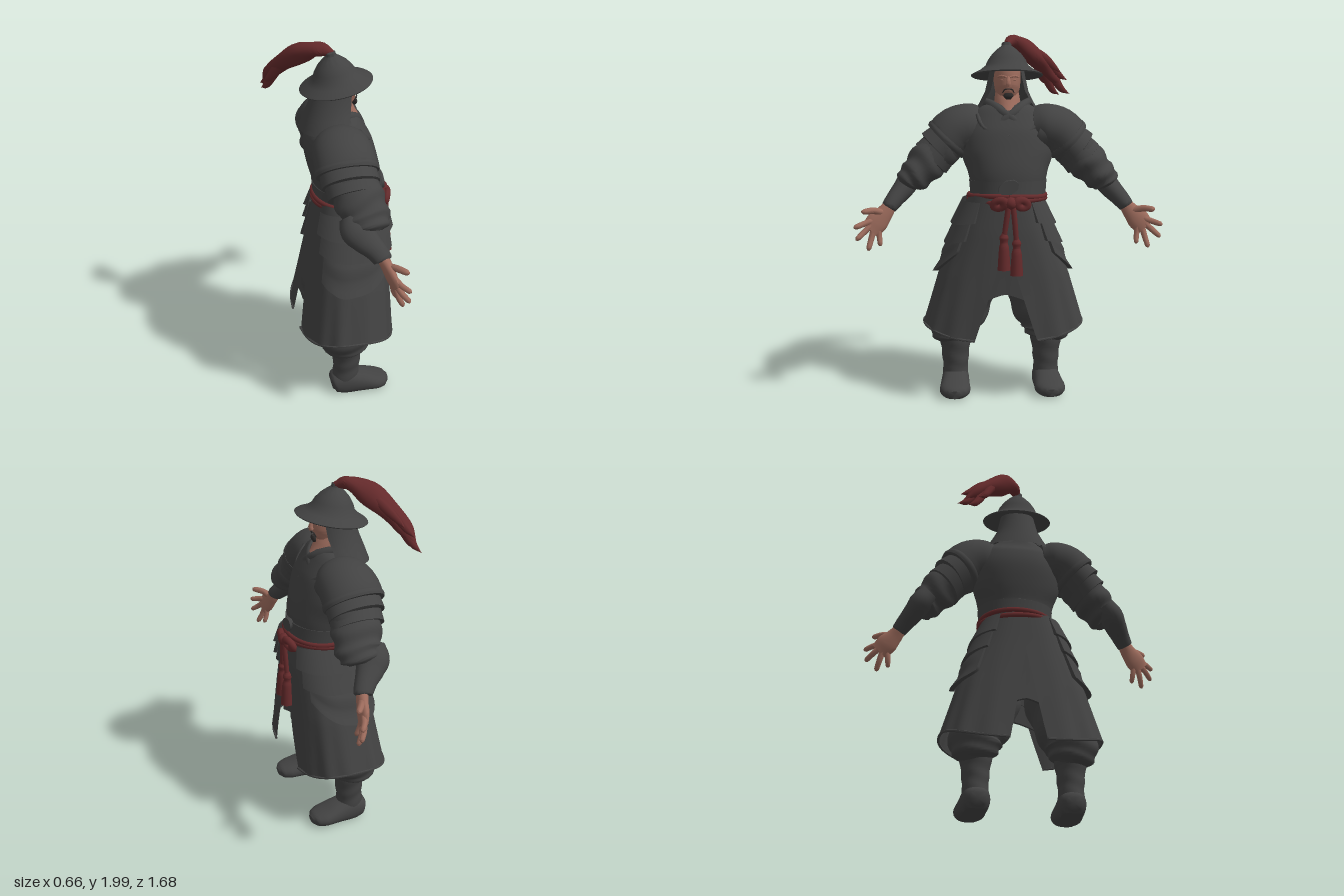
import * as THREE from 'three';
import { toCreasedNormals } from 'three/addons/utils/BufferGeometryUtils.js';

const V = (x, y, z) => new THREE.Vector3(x, y, z);
const lerp = THREE.MathUtils.lerp;
const spow = (v, p) => Math.sign(v) * Math.abs(v) ** p;

function mat(name, color) {
  const m = new THREE.MeshStandardMaterial({ color, side: THREE.DoubleSide });
  m.name = name;
  return m;
}

// Surface through rows of points; closed rows wrap round, caps close both ends
function grid(rows, { closed = false, caps = false, flip = false } = {}) {
  const n = rows[0].length, pos = [], idx = [];
  rows.forEach(r => r.forEach(p => pos.push(p.x, p.y, p.z)));
  const tri = (a, b, c) => (flip ? idx.push(a, c, b) : idx.push(a, b, c));
  for (let i = 0; i < rows.length - 1; i++) {
    for (let j = 0; j < (closed ? n : n - 1); j++) {
      const k = (j + 1) % n, a = i * n + j, b = i * n + k;
      tri(a, b, b + n);
      tri(a, b + n, a + n);
    }
  }
  if (caps) [0, rows.length - 1].forEach((r, e) => {
    const c = rows[r].reduce((s, p) => s.add(p), V(0, 0, 0)).divideScalar(n);
    const ci = pos.length / 3;
    pos.push(c.x, c.y, c.z);
    for (let j = 0; j < n; j++) {
      const a = r * n + j, b = r * n + (j + 1) % n;
      e ? tri(ci, a, b) : tri(ci, b, a);
    }
  });
  const g = new THREE.BufferGeometry();
  g.setAttribute('position', new THREE.Float32BufferAttribute(pos, 3));
  g.setIndex(idx);
  return toCreasedNormals(g, 0.9);
}

// Elliptical sweep through [x, y, z, radius along ref, radius across]
function limb(pts, { seg = 5, sides = 24, ref = V(0, 0, 1), pow = 1, ripple = 0, waves = 0, floor = -1 } = {}) {
  const path = new THREE.CatmullRomCurve3(pts.map(p => V(p[0], p[1], p[2])));
  const rad = new THREE.CatmullRomCurve3(pts.map(p => V(p[3], p[4] ?? p[3], 0)), false, 'catmullrom', 0.35);
  const n = seg * (pts.length - 1), rows = [];
  for (let i = 0; i <= n; i++) {
    const t = i / n, c = path.getPoint(t), T = path.getTangent(t), r = rad.getPoint(t);
    const A = ref.clone().addScaledVector(T, -T.dot(ref)).normalize(), B = T.clone().cross(A);
    const row = [];
    for (let j = 0; j < sides; j++) {
      const th = j / sides * Math.PI * 2;
      const k = 1 + ripple * Math.sin(waves * t * Math.PI * 2 + 1.3 * Math.sin(th * 2));
      const p = c.clone().addScaledVector(A, r.x * k * spow(Math.cos(th), pow))
        .addScaledVector(B, r.y * k * spow(Math.sin(th), pow));
      p.y = Math.max(p.y, floor);
      row.push(p);
    }
    rows.push(row);
  }
  return grid(rows, { closed: true, caps: true });
}

// Coat skirt outline: [y, half width, half depth, centre z]
const SKIRT = [[1.14, 0.19, 0.185, 0.08], [0.95, 0.26, 0.205, 0.073], [0.7, 0.36, 0.227, 0.056], [0.34, 0.465, 0.262, 0.033]];
function skirtAt(s, a, y, off = 0) {
  let i = 0;
  while (i < 2 && y < SKIRT[i + 1][0]) i++;
  const p = SKIRT[i], q = SKIRT[i + 1], t = (y - p[0]) / (q[0] - p[0]);
  const [rx, rz, cz] = [1, 2, 3].map(k => lerp(p[k], q[k], t));
  return V(s * (rx + off) * spow(Math.sin(a), 0.75), y, cz + (rz + off) * spow(Math.cos(a), 0.75));
}

// Raised plate hugging the skirt, with closed lower and side edges
function tasset(s, a0, a1, yTop, yBot, off, fold = 0) {
  const rows = [], n = 24;
  for (let i = 0; i <= 11; i++) {
    const v = Math.min(i / 10, 1), row = [];
    for (let j = 0; j <= n + 2; j++) {
      const u = THREE.MathUtils.clamp((j - 1) / n, 0, 1);
      const edge = j === 0 || j === n + 2 || i === 11;
      const bulge = fold * Math.sin(u * Math.PI) * Math.sin(v * 14);
      row.push(skirtAt(s, lerp(a0, a1, u), lerp(yTop, yBot(u), v), edge ? off - 0.02 : off * (0.6 + 0.4 * v) + bulge));
    }
    rows.push(row);
  }
  return grid(rows, { flip: s > 0 });
}

export function createModel() {
  const cloth = mat('charcoal cloth', 0x424242), skin = mat('skin', 0x9c6b5c);
  const red = mat('dark red', 0x642a2b), hair = mat('dark hair', 0x302d2c);
  const body = new THREE.Group();
  const add = (name, geo, m, parent = body) => {
    const mesh = new THREE.Mesh(geo, m);
    mesh.name = name;
    parent.add(mesh);
    return mesh;
  };

  // Torso, belt and collar
  add('torso', limb([[0, 1.62, -0.03, 0.08, 0.1], [0, 1.56, -0.005, 0.145, 0.2], [0, 1.45, 0.02, 0.182, 0.25], [0, 1.35, 0.045, 0.188, 0.25],
    [0, 1.25, 0.07, 0.187, 0.217], [0, 1.17, 0.075, 0.183, 0.2], [0, 1.08, 0.08, 0.178, 0.19]], { sides: 40, pow: 0.9 }), cloth);
  add('belt', limb([[0, 1.14, 0.08, 0.18, 0.19], [0, 1.142, 0.08, 0.192, 0.207], [0, 1.215, 0.075, 0.192, 0.213], [0, 1.217, 0.075, 0.18, 0.19]],
    { seg: 1, sides: 40, pow: 0.94 }), cloth);
  const buckle = add('buckle', new THREE.CylinderGeometry(0.06, 0.064, 0.04, 8), cloth);
  buckle.rotation.set(Math.PI / 2, Math.PI / 8, 0);
  buckle.scale.z = 0.65;
  buckle.position.set(-0.01, 1.19, 0.258);
  for (const s of [1, -1]) {
    add('collar', limb([[s * 0.125, 1.64, -0.01, 0.02, 0.02], [s * 0.085, 1.62, 0.08, 0.018, 0.026], [s * 0.04, 1.59, 0.128, 0.018, 0.024],
      [-s * 0.01, 1.555, 0.15, 0.016, 0.024], [-s * 0.08, 1.5, 0.162, 0.008, 0.015]], { sides: 10 }), cloth);
    add('bibEdge', limb([[s * 0.17, 1.57, 0.1, 0.012], [s * 0.13, 1.5, 0.16, 0.012], [0, 1.46, 0.198, 0.012]], { sides: 8 }), cloth);
  }

  // Head, face and hood
  add('neck', limb([[0, 1.72, 0.01, 0.06], [0, 1.63, 0.04, 0.072], [0, 1.56, 0.09, 0.062]]), skin);
  add('head', limb([[0, 1.86, 0.02, 0.085, 0.065], [0, 1.78, 0.025, 0.098, 0.075], [0, 1.71, 0.03, 0.098, 0.069],
    [0, 1.665, 0.045, 0.08, 0.052], [0, 1.635, 0.06, 0.04, 0.03]]), skin);
  add('nose', limb([[0, 1.775, 0.118, 0.008], [0, 1.74, 0.134, 0.013], [0, 1.725, 0.128, 0.016]], { sides: 10 }), skin);
  add('goatee', limb([[0, 1.688, 0.118, 0.009, 0.02], [0, 1.673, 0.119, 0.012, 0.028], [0, 1.655, 0.114, 0.008, 0.015]], { sides: 12 }), hair);
  for (const s of [1, -1]) {
    add('moustache', limb([[0, 1.71, 0.127, 0.002], [s * 0.02, 1.706, 0.123, 0.004], [s * 0.032, 1.688, 0.115, 0.002]], { sides: 8 }), hair);
    add('browRidge', limb([[s * 0.008, 1.772, 0.12, 0.007], [s * 0.035, 1.778, 0.11, 0.008], [s * 0.06, 1.77, 0.085, 0.004]], { sides: 8 }), skin);
    const eyelid = add('eyelid', new THREE.SphereGeometry(0.01, 10, 8), skin);
    eyelid.position.set(s * 0.03, 1.756, 0.11);
    eyelid.scale.set(1.3, 0.6, 0.8);
  }
  const hood = [[1.83, 0.09, 0.1, 0.01, 0.85], [1.76, 0.104, 0.118, 0.005, 0.85], [1.69, 0.12, 0.13, -0.005, 0.9],
    [1.63, 0.15, 0.145, -0.015, 1.0], [1.565, 0.19, 0.165, -0.02, 1.1]];
  add('hood', grid(hood.map(([y, rx, rz, cz, open], i) => Array.from({ length: 41 }, (_, j) => {
    const a = lerp(open, Math.PI * 2 - open, j / 40);
    return V(rx * Math.sin(a), y + i * 0.006 * Math.cos(a), cz + rz * Math.cos(a));
  })), { flip: true }), cloth);

  // Wide brimmed helmet
  const hatProfile = [[0.08, 0.015], [0.193, -0.012], [0.198, -0.006], [0.19, 0], [0.15, 0.02], [0.118, 0.045], [0.105, 0.075],
    [0.08, 0.11], [0.05, 0.138], [0.028, 0.155], [0.026, 0.172], [0, 0.18]];
  const hat = add('hat', toCreasedNormals(new THREE.LatheGeometry(hatProfile.map(p => new THREE.Vector2(...p)), 40), 0.8), cloth);
  hat.position.set(0, 1.787, 0.015);
  hat.rotation.x = -0.175;

  // Plume with loose strands
  add('plume', limb([[0, 1.95, 0, 0.016], [0.035, 1.965, -0.06, 0.041, 0.036], [0.11, 1.927, -0.14, 0.066, 0.052], [0.2, 1.85, -0.22, 0.062, 0.046],
    [0.28, 1.77, -0.275, 0.044, 0.032], [0.36, 1.69, -0.31, 0.003]], { sides: 14, ripple: 0.08, waves: 2.5 }), red);
  [[0.39, 1.665, -0.32], [0.33, 1.66, -0.325], [0.37, 1.745, -0.29], [0.33, 1.79, -0.25], [0.27, 1.72, -0.32]].forEach(([x, y, z], i) =>
    add('plumeStrand', limb([[0.1, 1.93 + i * 0.006, -0.13, 0.024], [lerp(0.12, x, 0.5), lerp(1.95, y, 0.5), z * 0.77, 0.03],
      [x * 0.87, y + 0.03, z * 0.93, 0.019], [x, y, z, 0.001]], { sides: 8 }), red));

  for (const s of [1, -1]) {
    // The left arm is held a little further forward, most at the shoulder
    const P = pts => pts.map(([x, y, z, ...r]) => [x * s, y, z + (s > 0 ? lerp(0.06, 0.015, x / 0.8) : 0), ...r]);
    const arm = new THREE.Group();
    arm.name = s > 0 ? 'leftArm' : 'rightArm';
    body.add(arm);

    // Sleeve with folds, forearm guard
    add('sleeve', limb(P([[0.16, 1.49, 0, 0.13, 0.11], [0.32, 1.42, 0.005, 0.135, 0.108], [0.43, 1.32, 0.028, 0.132, 0.108],
      [0.5, 1.245, 0.05, 0.125, 0.092], [0.54, 1.205, 0.055, 0.108, 0.078], [0.552, 1.185, 0.055, 0.065, 0.05]]),
    { seg: 8, ripple: 0.055, waves: 5 }), cloth, arm);
    add('forearmGuard', limb(P([[0.5, 1.255, -0.035, 0.06, 0.055], [0.545, 1.2, -0.015, 0.084, 0.063], [0.575, 1.16, 0.02, 0.076, 0.058],
      [0.62, 1.11, 0.07, 0.058, 0.049], [0.652, 1.07, 0.1, 0.05, 0.042], [0.656, 1.064, 0.102, 0.036, 0.032]])), cloth, arm);

    // Layered shoulder plates
    const plates = [
      [[0.13, 1.5, -0.01, 0.12, 0.1], [0.2, 1.5, -0.01, 0.155, 0.128], [0.28, 1.475, -0.01, 0.164, 0.134], [0.335, 1.425, -0.008, 0.165, 0.128], [0.338, 1.422, -0.008, 0.14, 0.1]],
      [[0.3, 1.45, -0.005, 0.15, 0.11], [0.385, 1.375, 0, 0.154, 0.122], [0.388, 1.372, 0, 0.13, 0.1]],
      [[0.35, 1.4, 0, 0.14, 0.105], [0.42, 1.325, 0.012, 0.144, 0.116], [0.423, 1.322, 0.012, 0.12, 0.1]]];
    plates.forEach(p => add('shoulderPlate', limb(P(p), { seg: p.length > 3 ? 4 : 1, sides: 32 }), cloth, arm));
    add('shoulderPlateRim', limb(P([[0.318, 1.443, -0.008, 0.167, 0.134], [0.33, 1.43, -0.008, 0.172, 0.136], [0.342, 1.418, -0.008, 0.167, 0.13]]),
      { seg: 2, sides: 32 }), cloth, arm);

    // Hand with spread fingers
    add('palm', limb(P([[0.645, 1.08, 0.1, 0.032, 0.036], [0.675, 1.04, 0.115, 0.029, 0.046], [0.715, 0.995, 0.13, 0.026, 0.06],
      [0.755, 0.95, 0.147, 0.017, 0.052]]), { sides: 16 }), skin, arm);
    const fingers = [[0.675, 1.04, 0.12, 0.795, 1.06, 0.195, 0.018], [0.745, 1.0, 0.14, 0.838, 0.972, 0.195, 0.016],
      [0.75, 0.975, 0.143, 0.828, 0.905, 0.195, 0.016], [0.735, 0.955, 0.142, 0.765, 0.845, 0.18, 0.016], [0.71, 0.96, 0.138, 0.7, 0.865, 0.16, 0.015]];
    fingers.forEach(([x, y, z, X, Y, Z, r], i) => add(i ? 'finger' : 'thumb', limb(P([[x, y, z, r * 1.1],
      [(x + X) / 2, (y + Y) / 2 + (i ? 0 : 0.008), (z + Z) / 2 - 0.006, r], [lerp(x, X, 0.9), lerp(y, Y, 0.9), lerp(z, Z, 0.9), r * 0.85],
      [X, Y, Z, r * 0.35]]), { sides: 8, seg: 3, ref: V(0, 0.2, 1).normalize() }), skin, arm));
  }

  // Lower body
  const lower = new THREE.Group(), legs = new THREE.Group();
  lower.name = 'lowerBody';
  legs.name = 'legs';
  lower.position.x = -0.025;
  legs.position.x = -0.01;
  lower.add(legs);
  body.add(lower);
  const hemY = a => 0.42 - 0.07 * Math.cos(a) ** 2;
  for (const s of [1, -1]) {
    // Coat half, split widely at the front and narrowly at the back
    const rows = [];
    for (let i = 0; i <= 24; i++) rows.push(Array.from({ length: 41 }, (_, j) => {
      const v = i / 24, open = Math.max(0, (v - 0.33) / 0.67);
      const a = lerp(0.27 * open, Math.PI - 0.13 * open, j / 40);
      return skirtAt(s, a, lerp(1.14, hemY(a), v), 0.006 * Math.sin(a * 14) * v * v);
    }));
    add('coatSkirt', grid(rows, { flip: s > 0 }), cloth, lower);
    // Hem border and inner aprons behind both splits
    const hem = Array.from({ length: 13 }, (_, j) => {
      const a = lerp(0.27, Math.PI - 0.13, j / 12), p = skirtAt(s, a, hemY(a));
      return [p.x, p.y, p.z, 0.007];
    });
    add('hem', limb(hem, { sides: 6, ref: V(0, 1, 0) }), cloth, lower);
    add('innerApron', tasset(s, 0, 0.6, 1, u => 0.6 - 0.1 * u, -0.05), cloth, lower);
    add('innerApronUpper', tasset(s, 0, 0.5, 1, u => 0.72 - 0.06 * u, -0.03), cloth, lower);
    add('innerBackApron', tasset(s, Math.PI - 0.5, Math.PI, 1, u => 0.5 + 0.1 * u, -0.035), cloth, lower);

    // Hip plates
    add('lowerHipPlate', tasset(s, 0.85, 2.4, 1.0, u => 0.83 - 0.14 * Math.sin(Math.min(u * 1.25, 1) * Math.PI * 0.62) + 0.05 * u ** 6, 0.026, 0.007), cloth, lower);
    add('middleHipPlate', tasset(s, 0.7, 2.5, 1.07, u => 0.9 - 0.03 * Math.sin(u * Math.PI), 0.036), cloth, lower);
    add('upperHipPlate', tasset(s, 0.55, 2.6, 1.11, u => 1.0 - 0.02 * Math.sin(u * Math.PI), 0.042), cloth, lower);

    // Baggy trousers and boots
    add('trouserLeg', limb([[s * 0.12, 0.98, 0.04, 0.14, 0.11], [s * 0.17, 0.7, 0.03, 0.145, 0.165], [s * 0.213, 0.52, 0.005, 0.142, 0.158],
      [s * 0.26, 0.4, -0.005, 0.147, 0.146], [s * 0.262, 0.325, -0.005, 0.132, 0.126], [s * 0.258, 0.28, 0, 0.075, 0.075]],
    { seg: 8, ripple: 0.04, waves: 5 }), cloth, legs);
    add('bootShaft', limb([[s * 0.257, 0.32, 0.005, 0.092, 0.09], [s * 0.257, 0.22, 0.005, 0.077, 0.076], [s * 0.257, 0.14, 0.002, 0.074, 0.07],
      [s * 0.257, 0.05, -0.005, 0.078, 0.072]], { ripple: 0.025, waves: 3 }), cloth, legs);
    const foot = add('bootFoot', limb([[0, 0.055, -0.085, 0.04, 0.035], [0, 0.06, -0.065, 0.068, 0.06], [0, 0.065, 0, 0.076, 0.078],
      [0, 0.06, 0.08, 0.08, 0.064], [0, 0.05, 0.17, 0.085, 0.045], [0, 0.045, 0.22, 0.066, 0.035], [0, 0.042, 0.243, 0.03, 0.022]],
    { ref: V(1, 0, 0), floor: 0.008, pow: 0.85 }), cloth, legs);
    foot.position.x = s * 0.257;
    foot.rotation.y = s * 0.05;
  }

  // Red sash: two cords, bow, ropes and tassels
  [0, 1].forEach(k => add('sashCord', limb(Array.from({ length: 25 }, (_, i) => {
    const a = i / 24 * Math.PI * 2, y = 1.113 + k * 0.024 + 0.006 * Math.sin(a * 2 + k * 2);
    return [-0.005 + 0.209 * spow(Math.sin(a), 0.95), y, 0.08 + 0.193 * spow(Math.cos(a), 0.95), 0.014];
  }), { sides: 8, seg: 3, ref: V(0, 1, 0) }), red));
  const knot = add('sashKnot', new THREE.SphereGeometry(0.034, 14, 10), red);
  knot.position.set(0, 1.11, 0.296);
  for (const s of [1, -1]) {
    const loop = add('bowLoop', new THREE.TorusGeometry(0.021, 0.02, 8, 16), red);
    loop.position.set(s * 0.06, 1.105, 0.29);
    loop.rotation.set(0.2, s * 0.3, s * -0.4);
    loop.scale.x = 1.4;
    const x = s * 0.034 - 0.003, d = s > 0 ? -0.03 : 0;
    add('sashRope', limb([[s * 0.01, 1.11, 0.3, 0.015], [x * 0.6, 1.03, 0.3, 0.015], [x, 0.92 + d, 0.295, 0.014]], { sides: 8 }), red);
    add('tassel', limb([[x, 0.95 + d, 0.295, 0.012], [x, 0.925 + d, 0.295, 0.025], [x, 0.9 + d, 0.295, 0.02], [x, 0.87 + d, 0.297, 0.027],
      [x, 0.8 + d, 0.299, 0.032], [x, 0.75 + d, 0.3, 0.035]], { sides: 12 }), red);
  }

  // The figure looks along +x
  body.name = 'figure';
  body.rotation.y = Math.PI / 2;
  const model = new THREE.Group();
  model.name = 'armouredWarrior';
  model.add(body);
  return model;
}
